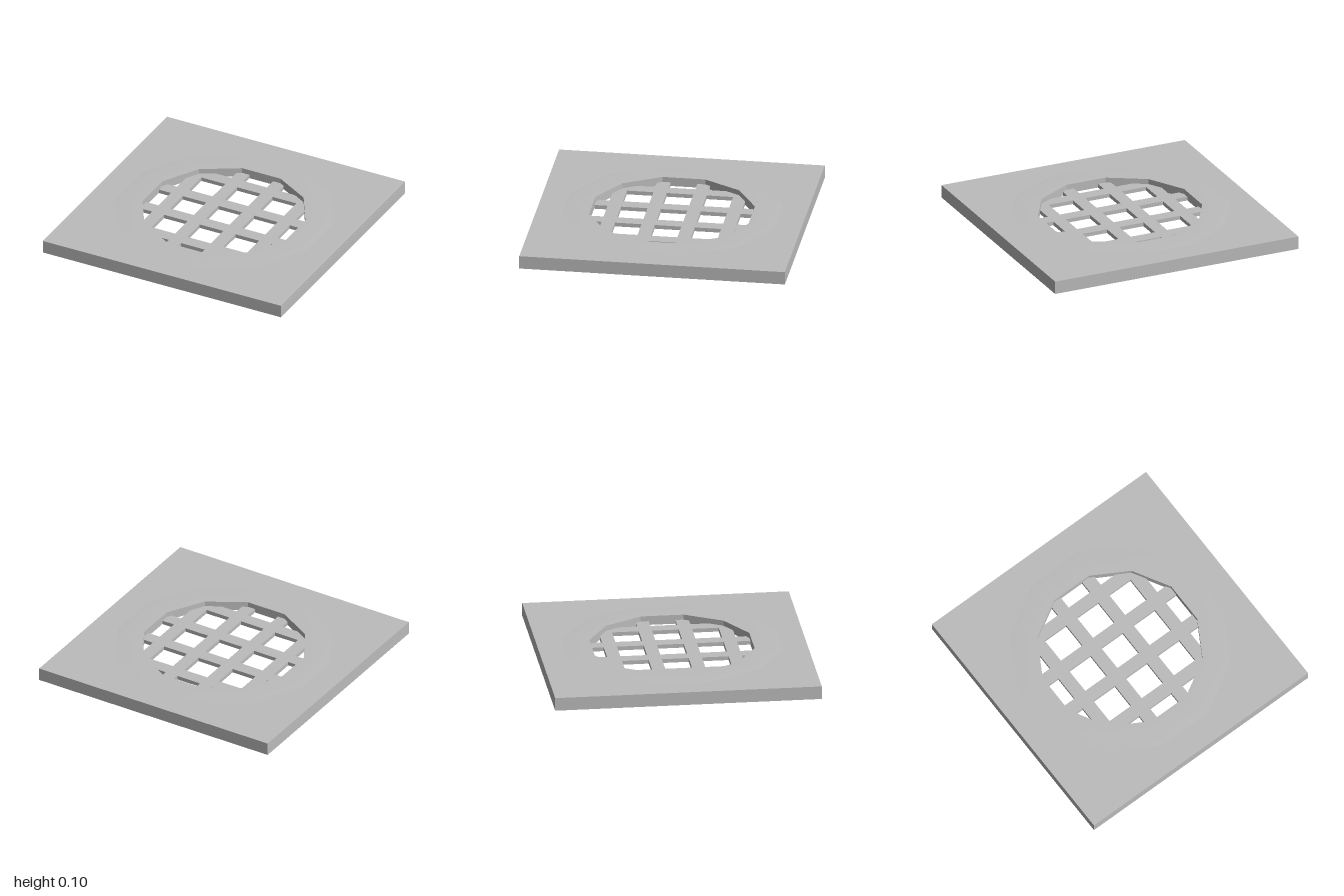
import * as THREE from 'three';
import { toCreasedNormals } from 'three/addons/utils/BufferGeometryUtils.js';

const SIDES = 12;
const STEP = (Math.PI * 2) / SIDES;

// Corners of a regular twelve-sided outline, given the distance to its flat sides
function outline(apothem) {
  const r = apothem / Math.cos(STEP / 2);
  return Array.from({ length: SIDES }, (_, i) => {
    const a = (i + 0.5) * STEP;
    return new THREE.Vector2(r * Math.cos(a), r * Math.sin(a));
  });
}

// Trim a convex polygon to the twelve-sided outline
function trim(points, apothem) {
  for (let i = 0; i < SIDES; i++) {
    const n = new THREE.Vector2(Math.cos(i * STEP), Math.sin(i * STEP));
    const out = [];
    points.forEach((p, k) => {
      const q = points[(k + 1) % points.length];
      const dp = apothem - p.dot(n);
      const dq = apothem - q.dot(n);
      if (dp >= 0) out.push(p);
      if (dp * dq < 0) out.push(p.clone().lerp(q, dp / (dp - dq)));
    });
    points = out;
  }
  return points;
}

// Flat slab lying between two heights
function slab(points, holes, bottom, top) {
  const shape = new THREE.Shape(points);
  holes.forEach((h) => shape.holes.push(new THREE.Path(h)));
  const geometry = new THREE.ExtrudeGeometry(shape, { depth: top - bottom, bevelEnabled: false });
  return geometry.rotateX(-Math.PI / 2).translate(0, bottom, 0);
}

function square(x, y, half) {
  return [[-1, -1], [1, -1], [1, 1], [-1, 1]].map(
    ([sx, sy]) => new THREE.Vector2(x + sx * half, y + sy * half)
  );
}

export function createModel() {
  const model = new THREE.Group();
  model.name = 'floorDrain';
  const grey = new THREE.MeshStandardMaterial({ color: 0xbcbcbc });
  grey.name = 'grey';

  const add = (name, geometry) => {
    const mesh = new THREE.Mesh(geometry, grey);
    mesh.name = name;
    model.add(mesh);
  };

  // Square plate with a wide opening
  add('plate', slab(square(0, 0, 1), [outline(0.7)], 0, 0.1));

  // Slightly raised collar with the narrower upper opening and a ledge beneath
  const profile = [[0.8, 0.1], [0.7, 0.105], [0.6, 0.105], [0.6, 0.04], [0.7, 0.04]].map(
    ([a, y]) => new THREE.Vector2(a / Math.cos(STEP / 2), y)
  );
  const collar = new THREE.LatheGeometry(profile, SIDES, STEP / 2);
  add('collar', toCreasedNormals(collar, 0.35));

  // Grille of crossing bars, with the outer cells cut off by the collar
  const cells = [];
  for (let i = -2; i <= 2; i++) {
    for (let j = -2; j <= 2; j++) {
      const cell = trim(square(i * 0.3, j * 0.3, 0.1), 0.601);
      if (cell.length > 2) cells.push(cell);
    }
  }
  add('grille', slab(outline(0.62), cells, 0.035, 0.065));

  return model;
}
